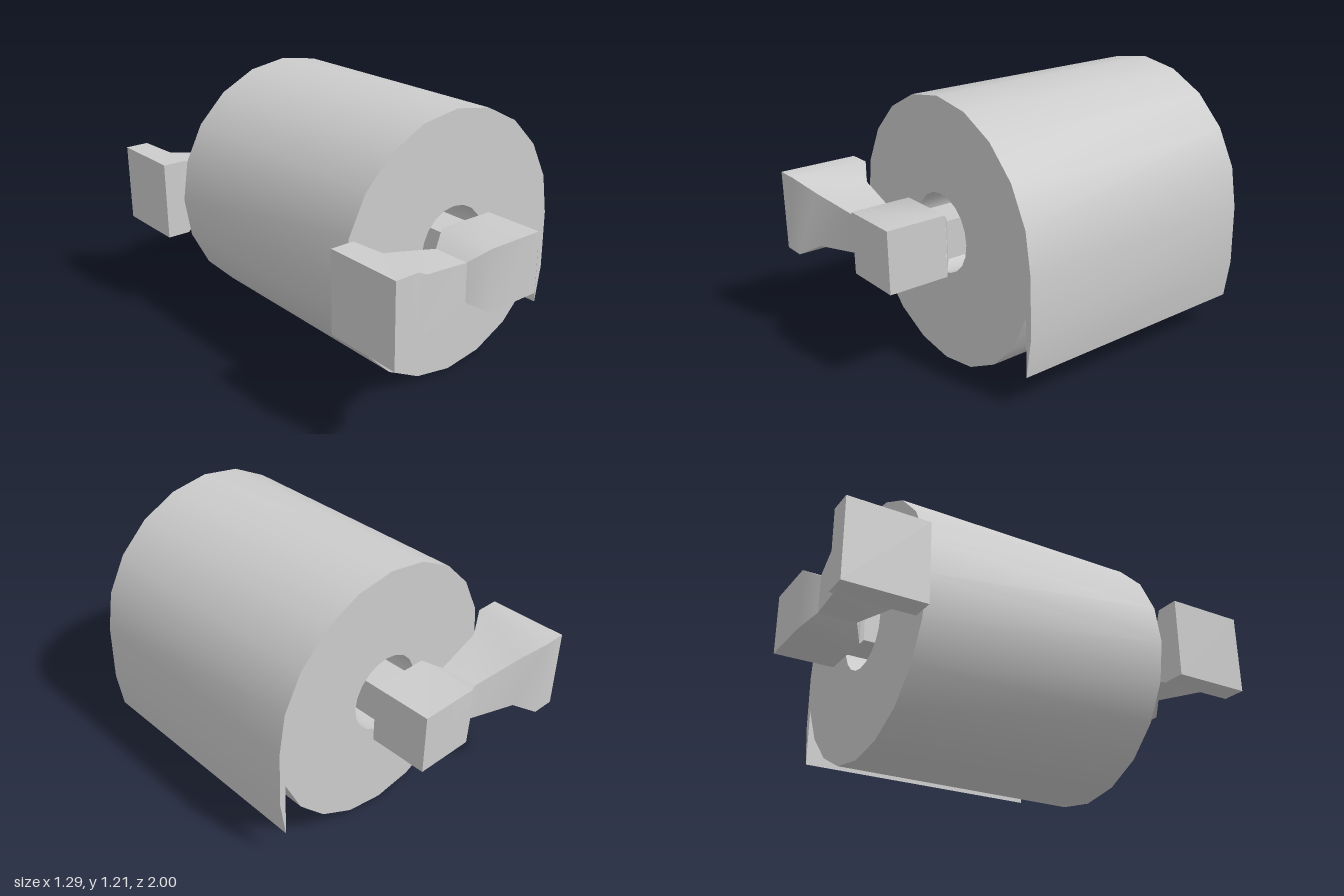
import * as THREE from 'three';
import { toCreasedNormals } from 'three/addons/utils/BufferGeometryUtils.js';

const material = new THREE.MeshStandardMaterial({ color: 0xcccccc });
const CX = 0.04, CY = 0.605, R = 0.605, SIDES = 20;

function part(name, geometry) {
  const mesh = new THREE.Mesh(toCreasedNormals(geometry, 0.66), material);
  mesh.name = name;
  return mesh;
}

// Square bar along y, from [half width, position] pairs
function squareBar(sections) {
  const points = sections.map(([half, t]) => new THREE.Vector2(half * Math.SQRT2, t));
  return new THREE.LatheGeometry(points, 4).rotateY(Math.PI / 4);
}

function ringPoint(radius, i) {
  const a = (i / SIDES) * Math.PI * 2;
  return new THREE.Vector2(CX + radius * Math.cos(a), CY + radius * Math.sin(a));
}

export function createModel() {
  const model = new THREE.Group();
  model.name = 'paperRollOnHolder';

  // Paper roll with its loose end hanging on the +x side, and a core hole
  const outline = [], core = [];
  for (let i = 0; i < SIDES; i++) {
    outline.push(ringPoint(R, i));
    core.push(ringPoint(0.18, i));
  }
  outline.pop();
  outline.push(new THREE.Vector2(0.615, 0.42), new THREE.Vector2(0.615, 0.15), new THREE.Vector2(0.645, 0.33));
  const shape = new THREE.Shape(outline);
  shape.holes.push(new THREE.Path(core));
  const roll = new THREE.ExtrudeGeometry(shape, { depth: 1.21, bevelEnabled: false });
  model.add(part('paperRoll', roll.translate(0, 0, -0.605)));

  // Square rod through the core, flaring into the arms
  const rod = squareBar([[0.139, -0.677], [0.087, -0.635], [0.087, 0.635], [0.139, 0.677]]);
  model.add(part('rod', rod.rotateX(Math.PI / 2).translate(CX, CY, 0)));

  // Wall arms at both ends
  for (const side of [1, -1]) {
    const arm = squareBar([
      [0, -0.645], [0.184, -0.645], [0.184, -0.535], [0.126, -0.435],
      [0.087, -0.183], [0.139, -0.1], [0.139, 0.178], [0, 0.178],
    ]);
    arm.rotateZ(-Math.PI / 2).translate(0, CY, side * 0.816);
    model.add(part(side > 0 ? 'frontArm' : 'backArm', arm));
  }
  return model;
}
